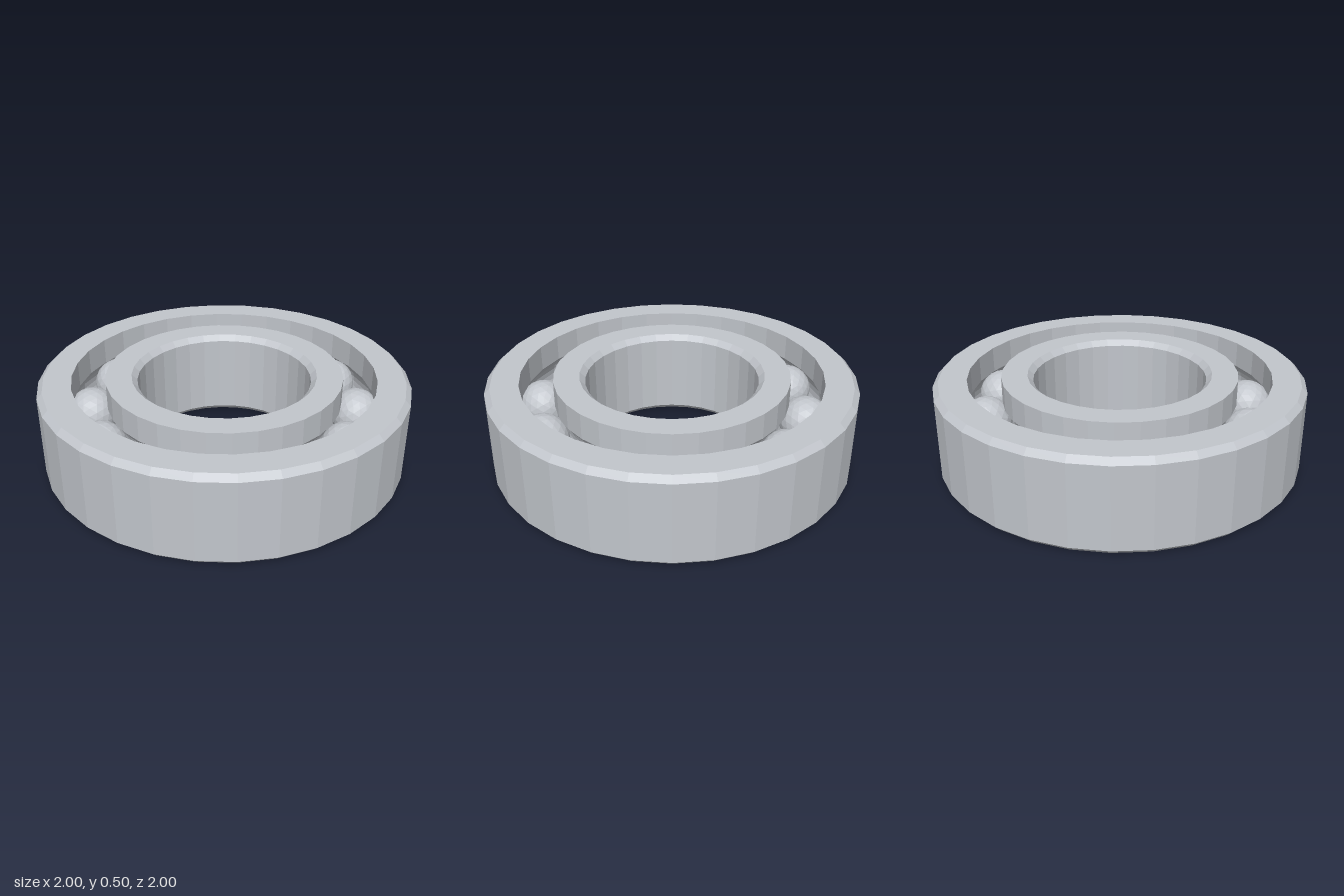
import * as THREE from 'three';

const HEIGHT = 0.5, MID = HEIGHT / 2, CHAMFER = 0.03;
const PITCH = 0.73, BALL = 0.138, GROOVE = 0.14;
const SIDES = 32, BALLS = 12;

const steel = new THREE.MeshStandardMaterial({ color: 0xc2c6cc });
steel.name = 'steel';

// Give every face its own flat normal
function faceted(geometry) {
  const flat = geometry.index ? geometry.toNonIndexed() : geometry;
  flat.computeVertexNormals();
  return flat;
}

// Ball groove cut in a ring wall: side +1 for the outer race (running down), -1 for the inner race (running up)
function groove(wallRadius, side) {
  const limit = Math.acos(Math.abs(wallRadius - PITCH) / GROOVE);
  const points = [];
  for (let i = 0; i <= 8; i++) {
    const a = side * limit * (1 - i / 4);
    points.push([PITCH + side * GROOVE * Math.cos(a), MID + GROOVE * Math.sin(a)]);
  }
  return points;
}

// Revolve a closed counter-clockwise profile of [radius, height] pairs
function ring(name, profile) {
  const points = [...profile, profile[0]].map(([r, y]) => new THREE.Vector2(r, y));
  const mesh = new THREE.Mesh(faceted(new THREE.LatheGeometry(points, SIDES)), steel);
  mesh.name = name;
  return mesh;
}

export function createModel() {
  const model = new THREE.Group();
  model.name = 'ballBearing';

  // Outer race, chamfered on its outside edges
  model.add(ring('outerRace', [
    [0.82, 0], [1 - CHAMFER, 0], [1, CHAMFER],
    [1, HEIGHT - CHAMFER], [1 - CHAMFER, HEIGHT], [0.82, HEIGHT],
    ...groove(0.82, 1),
  ]));

  // Inner race, chamfered around the bore
  model.add(ring('innerRace', [
    [0.47 + CHAMFER, 0], [0.64, 0],
    ...groove(0.64, -1),
    [0.64, HEIGHT], [0.47 + CHAMFER, HEIGHT],
    [0.47, HEIGHT - CHAMFER], [0.47, CHAMFER],
  ]));

  // Balls spaced evenly between the races
  const balls = new THREE.Group();
  balls.name = 'balls';
  const ballGeometry = faceted(new THREE.IcosahedronGeometry(BALL, 3));
  for (let i = 0; i < BALLS; i++) {
    const a = (i / BALLS) * Math.PI * 2;
    const ball = new THREE.Mesh(ballGeometry, steel);
    ball.name = 'ball' + (i + 1);
    ball.position.set(PITCH * Math.sin(a), MID, PITCH * Math.cos(a));
    balls.add(ball);
  }
  model.add(balls);

  return model;
}
